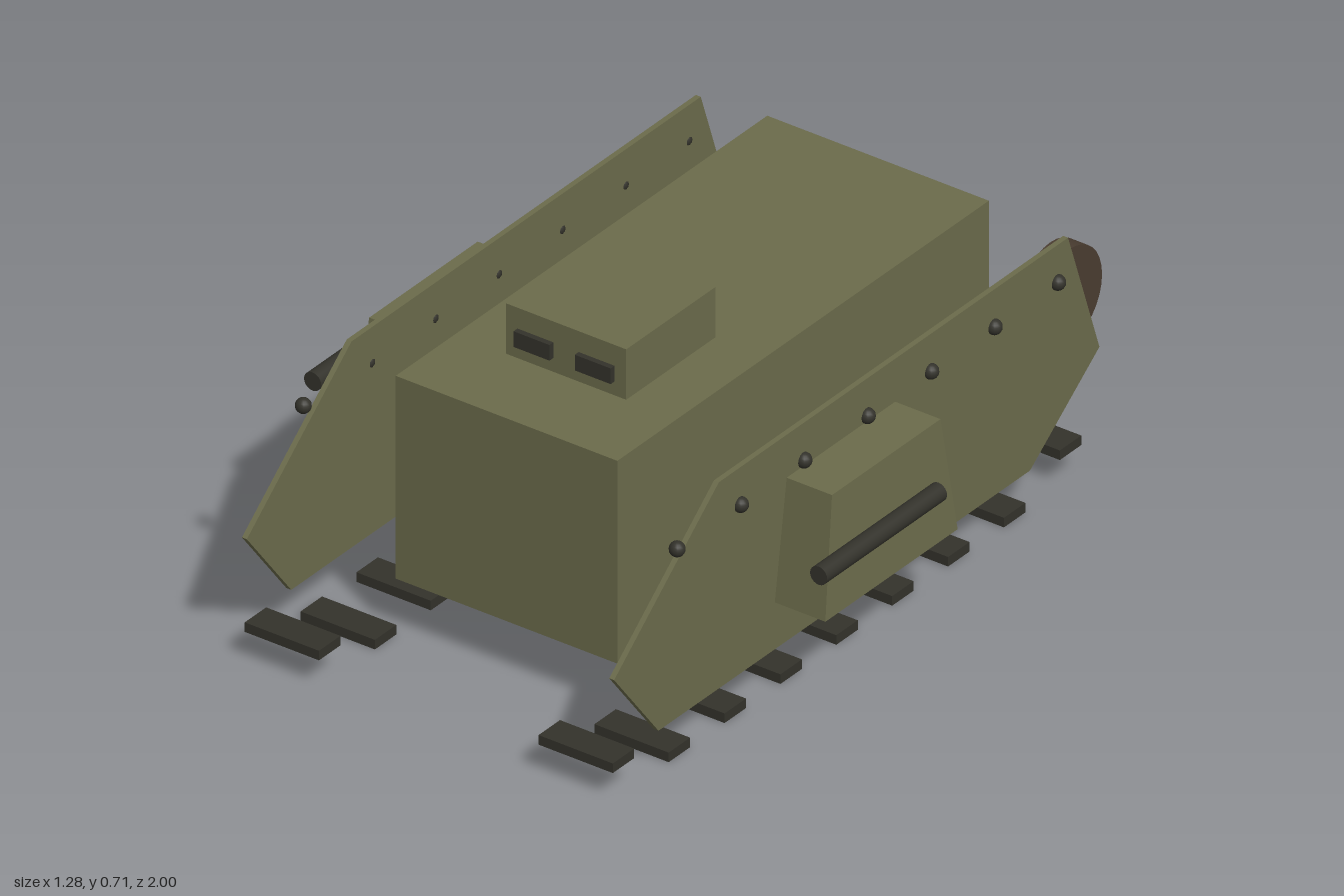
import * as THREE from 'three';

const olive = new THREE.MeshStandardMaterial({ color: 0x6b6b4b });
olive.name = 'olive armour';
const dark = new THREE.MeshStandardMaterial({ color: 0x33322b });
dark.name = 'dark steel';
const brown = new THREE.MeshStandardMaterial({ color: 0x4a3d31 });
brown.name = 'wheel brown';

function add(parent, name, geometry, material, x = 0, y = 0, z = 0) {
  const mesh = new THREE.Mesh(geometry, material);
  mesh.name = name;
  mesh.position.set(x, y, z);
  parent.add(mesh);
  return mesh;
}

// Box whose top face is scaled in towards its centre
function taperedBox(w, h, d, scale) {
  const geometry = new THREE.BoxGeometry(w, h, d);
  const p = geometry.attributes.position;
  for (let i = 0; i < p.count; i++) {
    if (p.getY(i) > 0) p.setXYZ(i, p.getX(i) * scale, p.getY(i), p.getZ(i) * scale);
  }
  geometry.computeVertexNormals();
  return geometry;
}

// Side armour outline (z, y), extruded across x
function sidePlateGeometry() {
  const outline = [[1, 0.285], [0.653, 0.572], [-0.503, 0.572], [-0.607, 0.27], [-0.377, 0.097], [0.853, 0.097]];
  const shape = new THREE.Shape(outline.map(([z, y]) => new THREE.Vector2(-z, y)));
  const geometry = new THREE.ExtrudeGeometry(shape, { depth: 0.012, bevelEnabled: false });
  return geometry.translate(0, 0, -0.006).rotateY(Math.PI / 2);
}

export function createModel() {
  const model = new THREE.Group();
  model.name = 'trackedVehicle';

  // Hull and lookout box
  add(model, 'hull', new THREE.BoxGeometry(0.543, 0.467, 1.23), olive, 0, 0.3635, 0.125);
  add(model, 'cupola', new THREE.BoxGeometry(0.295, 0.126, 0.296), olive, 0, 0.65, 0.395);

  const slit = new THREE.BoxGeometry(0.088, 0.036, 0.02);
  const plate = sidePlateGeometry();
  const sponson = taperedBox(0.144, 0.268, 0.438, 0.82);
  const barrel = new THREE.CylinderGeometry(0.021, 0.021, 0.397, 20).rotateX(Math.PI / 2);
  const rivet = new THREE.SphereGeometry(0.017, 14, 10);
  const pad = new THREE.BoxGeometry(0.182, 0.022, 0.071);
  const wheel = new THREE.CylinderGeometry(0.11, 0.11, 0.046, 32).rotateZ(Math.PI / 2);

  for (const [label, s] of [['left', 1], ['right', -1]]) {
    const side = new THREE.Group();
    side.name = label + 'Side';
    model.add(side);

    add(side, 'visionSlit', slit, dark, s * 0.075, 0.647, 0.546);
    add(side, 'sidePlate', plate, olive, s * 0.45, 0, 0);
    add(side, 'sponson', sponson, olive, s * 0.508, 0.339, 0.249);
    add(side, 'gunBarrel', barrel, dark, s * 0.62, 0.363, 0.346);

    // Row of rivets along the upper plate
    for (let i = 0; i < 7; i++) {
      add(side, 'rivet', rivet, dark, s * 0.458, 0.488, 0.794 - i * 0.21);
    }

    // Track pads, with the two end pads raised
    for (let i = 0; i < 9; i++) {
      const raised = i === 0 || i === 8;
      add(side, 'trackPad', pad, dark, s * 0.36, raised ? 0.079 : 0.014, 0.962 - i * 0.185);
    }

    // Trailing steering wheel on its arm
    const start = new THREE.Vector3(s * 0.15, 0.225, -0.47);
    const end = new THREE.Vector3(s * 0.15, 0.145, -0.888);
    const arm = add(side, 'tailArm', new THREE.CylinderGeometry(0.012, 0.012, start.distanceTo(end), 12), dark);
    arm.position.copy(start).lerp(end, 0.5);
    arm.quaternion.setFromUnitVectors(new THREE.Vector3(0, 1, 0), end.clone().sub(start).normalize());
    add(side, 'tailWheel', wheel, brown, end.x, end.y, end.z);
  }
  return model;
}
